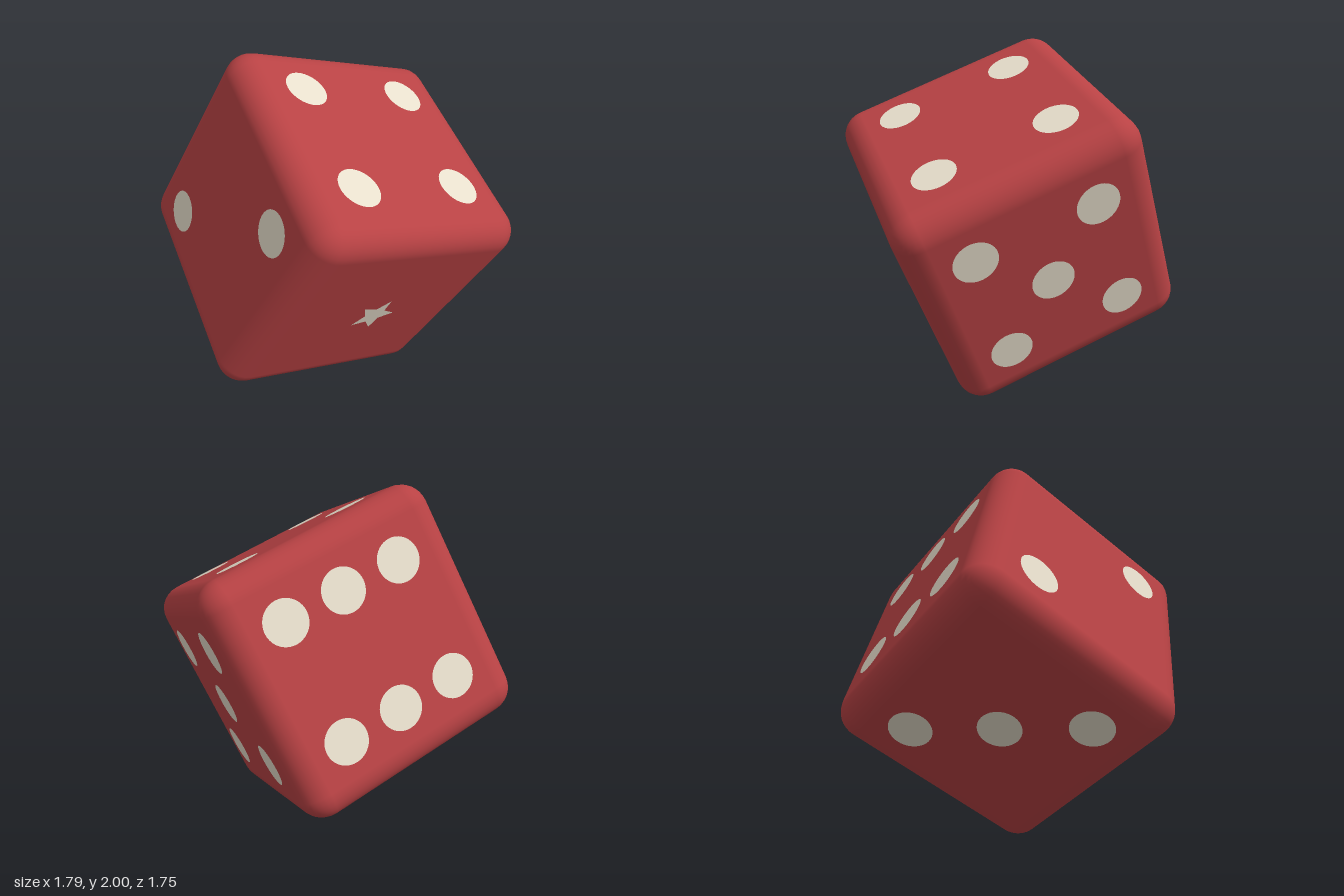
import * as THREE from 'three';
import { RoundedBoxGeometry } from 'three/addons/geometries/RoundedBoxGeometry.js';

const HALF = 0.695;   // half the edge of the cube
const STEP = 0.347;   // pip distance from the face centre
const PIP = 0.123;    // pip radius
const LIFT = 0.003;   // pips sit just proud of the face

export function createModel() {
  const red = new THREE.MeshStandardMaterial({ color: 0xb84244 });
  red.name = 'red body';
  const ivory = new THREE.MeshStandardMaterial({ color: 0xeee5d2 });
  ivory.name = 'ivory pips';

  const die = new THREE.Group();
  die.name = 'die';

  // Rounded body
  const body = new THREE.Mesh(new RoundedBoxGeometry(2 * HALF, 2 * HALF, 2 * HALF, 4, 0.15), red);
  body.name = 'body';
  die.add(body);

  // Five-pointed star that stands for one
  const star = new THREE.Shape();
  for (let i = 0; i < 10; i++) {
    const r = i % 2 ? 0.065 : 0.141;
    const a = (i * Math.PI) / 5;
    star[i ? 'lineTo' : 'moveTo'](r * Math.cos(a), r * Math.sin(a));
  }
  star.closePath();
  const starGeometry = new THREE.ShapeGeometry(star);
  const pipGeometry = new THREE.CircleGeometry(PIP, 40);

  // Pip places in steps along the cube axes; 0 on the face's own axis
  const faces = [
    { name: 'oneFace', normal: [0, 0, 1], pips: [[0, 0, 0]], geometry: starGeometry },
    { name: 'twoFace', normal: [-1, 0, 0], pips: [[0, 1, 1], [0, -1, -1]] },
    { name: 'threeFace', normal: [0, -1, 0], pips: [[1, 0, -1], [0, 0, 0], [-1, 0, 1]] },
    { name: 'fourFace', normal: [0, 1, 0], pips: [[1, 0, 1], [1, 0, -1], [-1, 0, 1], [-1, 0, -1]] },
    { name: 'fiveFace', normal: [1, 0, 0], pips: [[0, 1, 1], [0, 1, -1], [0, 0, 0], [0, -1, 1], [0, -1, -1]] },
    { name: 'sixFace', normal: [0, 0, -1], pips: [-1, 0, 1].flatMap((x) => [[x, 1, 0], [x, -1, 0]]) },
  ];

  const front = new THREE.Vector3(0, 0, 1);
  for (const { name, normal, pips, geometry = pipGeometry } of faces) {
    const group = new THREE.Group();
    group.name = name;
    const n = new THREE.Vector3(...normal);
    for (const place of pips) {
      const pip = new THREE.Mesh(geometry, ivory);
      pip.name = geometry === starGeometry ? 'starPip' : 'pip';
      pip.position.set(...place).multiplyScalar(STEP).addScaledVector(n, HALF + LIFT);
      if (n.z < 0) pip.rotation.y = Math.PI;
      else pip.quaternion.setFromUnitVectors(front, n);
      group.add(pip);
    }
    die.add(group);
  }

  // Tumbled pose, standing on one corner
  const x = new THREE.Vector3(0.951, -0.307, 0.017).normalize();
  const y = new THREE.Vector3(-0.141, -0.377, 0.916).cross(x).normalize();
  const z = new THREE.Vector3().crossVectors(x, y);
  die.quaternion.setFromRotationMatrix(new THREE.Matrix4().makeBasis(x, y, z));
  die.position.y = 1;

  const model = new THREE.Group();
  model.name = 'tumbledDie';
  model.add(die);
  return model;
}
